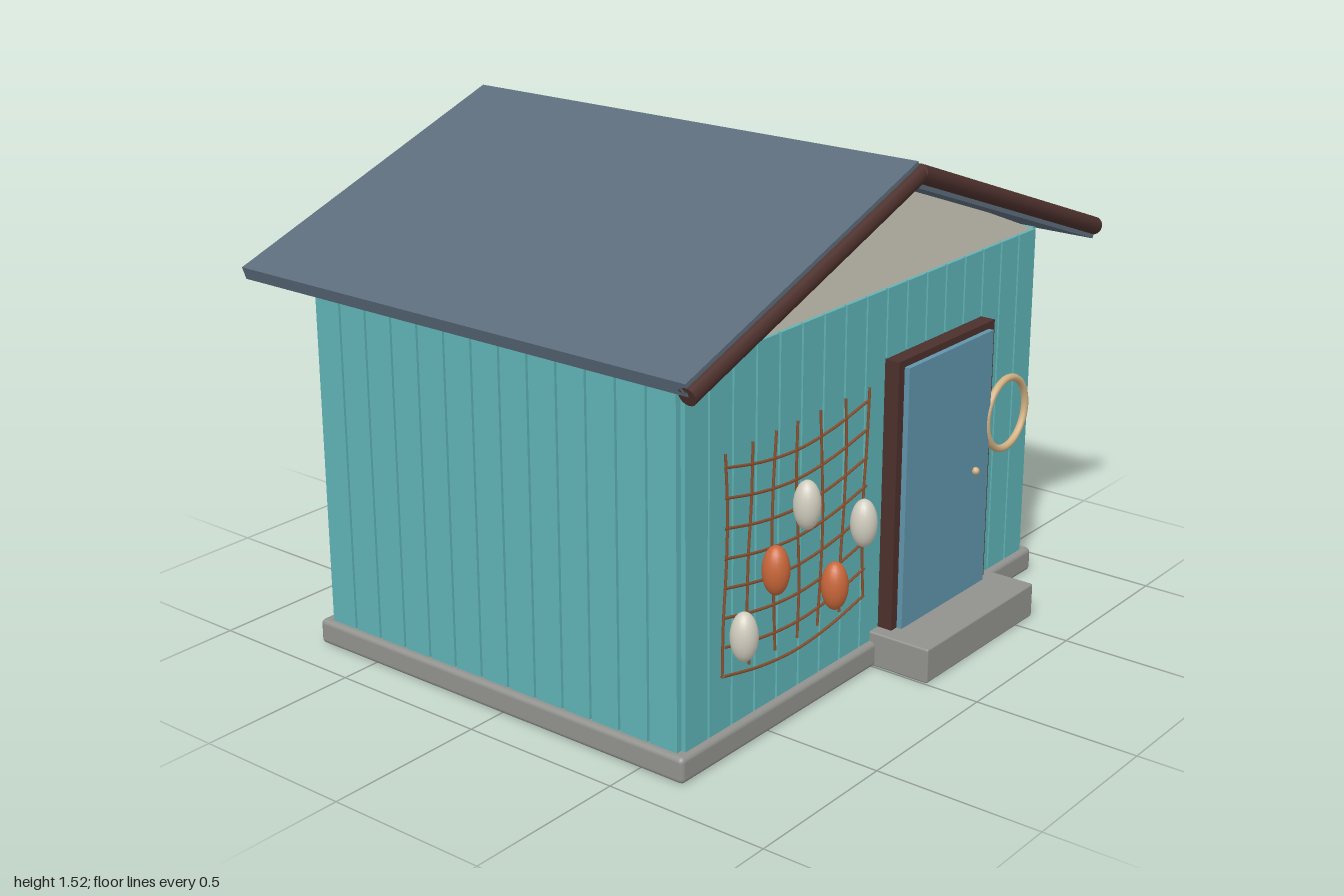
import * as THREE from 'three';
import { RoundedBoxGeometry } from 'three/addons/geometries/RoundedBoxGeometry.js';

const mat = (name, color, side = THREE.FrontSide) => {
  const m = new THREE.MeshStandardMaterial({ color, side });
  m.name = name;
  return m;
};

export function createModel() {
  const teal = mat('teal boards', 0x5fb3b6);
  const seam = mat('dark teal seams', 0x2f6a6e);
  const slate = mat('slate roof', 0x5c6c7b);
  const ribDark = mat('dark roof ribs', 0x3a4650);
  const cream = mat('cream gable', 0xd0ccbe);
  const brown = mat('dark brown trim', 0x4c302c);
  const blue = mat('blue door', 0x6094aa);
  const stone = mat('grey stone', 0x91918e);
  const tan = mat('tan rope', 0xd2b283);
  const orange = mat('orange floats and net', 0xc9673a);

  const model = new THREE.Group();
  const add = (name, geometry, material, x = 0, y = 0, z = 0, parent = model) => {
    const mesh = new THREE.Mesh(geometry, material);
    mesh.name = name;
    mesh.position.set(x, y, z);
    parent.add(mesh);
    return mesh;
  };
  const group = (name) => {
    const g = new THREE.Group();
    g.name = name;
    model.add(g);
    return g;
  };
  // Box given by its lower and upper corners
  const box = (name, material, a, b, parent = model, radius = 0) => {
    const s = b.map((v, i) => v - a[i]);
    const geo = radius ? new RoundedBoxGeometry(...s, 2, radius) : new THREE.BoxGeometry(...s);
    return add(name, geo, material, ...a.map((v, i) => (v + b[i]) / 2), parent);
  };

  // Foundation and doorstep
  box('foundation', stone, [-0.885, 0, -0.725], [0.885, 0.077, 0.65], model, 0.015);
  box('doorstep', stone, [0.003, 0, 0.5], [0.587, 0.107, 0.83], model, 0.006);

  // Wall core, seen only in the seams between the boards
  box('wallCore', seam, [-0.85, 0.07, -0.685], [0.85, 1.128, 0.615]);
  const boards = group('wallBoards');
  const gap = 0.004, y0 = 0.075, y1 = 1.13;
  for (let i = 0; i < 17; i++) {
    const x = -0.85 + i * 0.1;
    box('frontBoard', teal, [x + gap, y0, 0.61], [x + 0.1 - gap, y1, 0.63], boards);
    box('backBoard', teal, [x + gap, y0, -0.7], [x + 0.1 - gap, y1, -0.68], boards);
  }
  const step = 1.31 / 13;
  for (let i = 0; i < 13; i++) {
    const z = -0.69 + i * step;
    for (const s of [-1, 1]) {
      box('sideBoard', teal, [s * 0.855 - 0.01, y0, z + gap], [s * 0.855 + 0.01, y1, z + step - gap], boards);
    }
  }

  // Gable prism under the roof
  const tri = new THREE.Shape([[-0.85, 1.128], [0.85, 1.128], [0, 1.465]].map((p) => new THREE.Vector2(...p)));
  add('gable', new THREE.ExtrudeGeometry(tri, { depth: 1.31, bevelEnabled: false }), cream, 0, 0, -0.69);

  // Roof: each slope runs along local x from the ridge; the left slab lies above the line, the right below
  const run = 0.987, drop = 0.355, length = Math.hypot(run, drop), angle = Math.atan2(drop, run);
  const thick = 0.039;
  for (const s of [-1, 1]) {
    const slope = group(s < 0 ? 'rightRoofSlope' : 'leftRoofSlope');
    slope.position.y = 1.485;
    slope.rotation.z = -s * angle;
    add('roofSlab', new THREE.BoxGeometry(length, thick, 1.585), slate, s * length / 2, -s * thick / 2, -0.0375, slope);
    const barge = add('bargePole', new THREE.CylinderGeometry(0.027, 0.027, length, 20), brown, s * length / 2, 0, 0.75, slope);
    barge.rotation.z = Math.PI / 2;
    if (s > 0) {
      for (let k = 1; k < 7; k++) {
        add('roofRib', new THREE.BoxGeometry(0.012, 0.016, 1.58), ribDark, k * length / 7, 0.004, -0.04, slope);
      }
    }
  }

  // Door
  box('doorFrame', brown, [0.045, 0.1, 0.6], [0.55, 0.926, 0.677]);
  box('door', blue, [0.073, 0.107, 0.66], [0.518, 0.905, 0.694]);
  add('doorKnob', new THREE.SphereGeometry(0.012, 12, 8), tan, 0.44, 0.487, 0.7);

  // Life ring
  add('ropeRing', new THREE.TorusGeometry(0.11, 0.0115, 10, 40), tan, 0.622, 0.615, 0.687);

  // Fishing net: sagging rows and gently wavy columns
  const net = group('fishingNet');
  const netBrown = mat('brown net cord', 0x8c5230);
  const cord = (name, pts) => {
    const curve = new THREE.CatmullRomCurve3(pts.map((p) => new THREE.Vector3(...p)));
    add(name, new THREE.TubeGeometry(curve, 16, 0.0042, 5), netBrown, 0, 0, 0, net);
  };
  const along = [0, 0.25, 0.5, 0.75, 1];
  for (let r = 0; r < 8; r++) {
    const y = 0.287 + r * 0.083;
    cord('netRow', along.map((t) => [-0.77 + 0.64 * t, y - 0.045 * Math.sin(Math.PI * t), 0.695]));
  }
  for (let c = 0; c < 7; c++) {
    const x = -0.765 + c * 0.105, dip = 0.03 * Math.sin(Math.PI * c / 6);
    cord('netColumn', along.map((t) => [x + 0.01 * Math.sin(t * 5 + c * 1.3), 0.905 - dip * t * 0.3 - 0.62 * t, 0.695]));
  }

  // Floats hung on the net
  const floats = [[-0.735, 0.4, cream], [-0.6, 0.54, orange], [-0.465, 0.68, cream], [-0.33, 0.4, orange], [-0.197, 0.54, cream]];
  for (const [x, y, m] of floats) {
    add('netFloat', new THREE.SphereGeometry(1, 20, 14), m, x, y, 0.735, net).scale.set(0.038, 0.07, 0.038);
  }

  // At most ten colours: the ribs share the seam tone family
  model.traverse((o) => { if (o.material === ribDark) o.material = seamOrRib(ribDark, slate); });
  return model;
}

// Ribs take the slab colour; their height gives the shadow line
function seamOrRib(rib, slab) {
  return slab;
}
